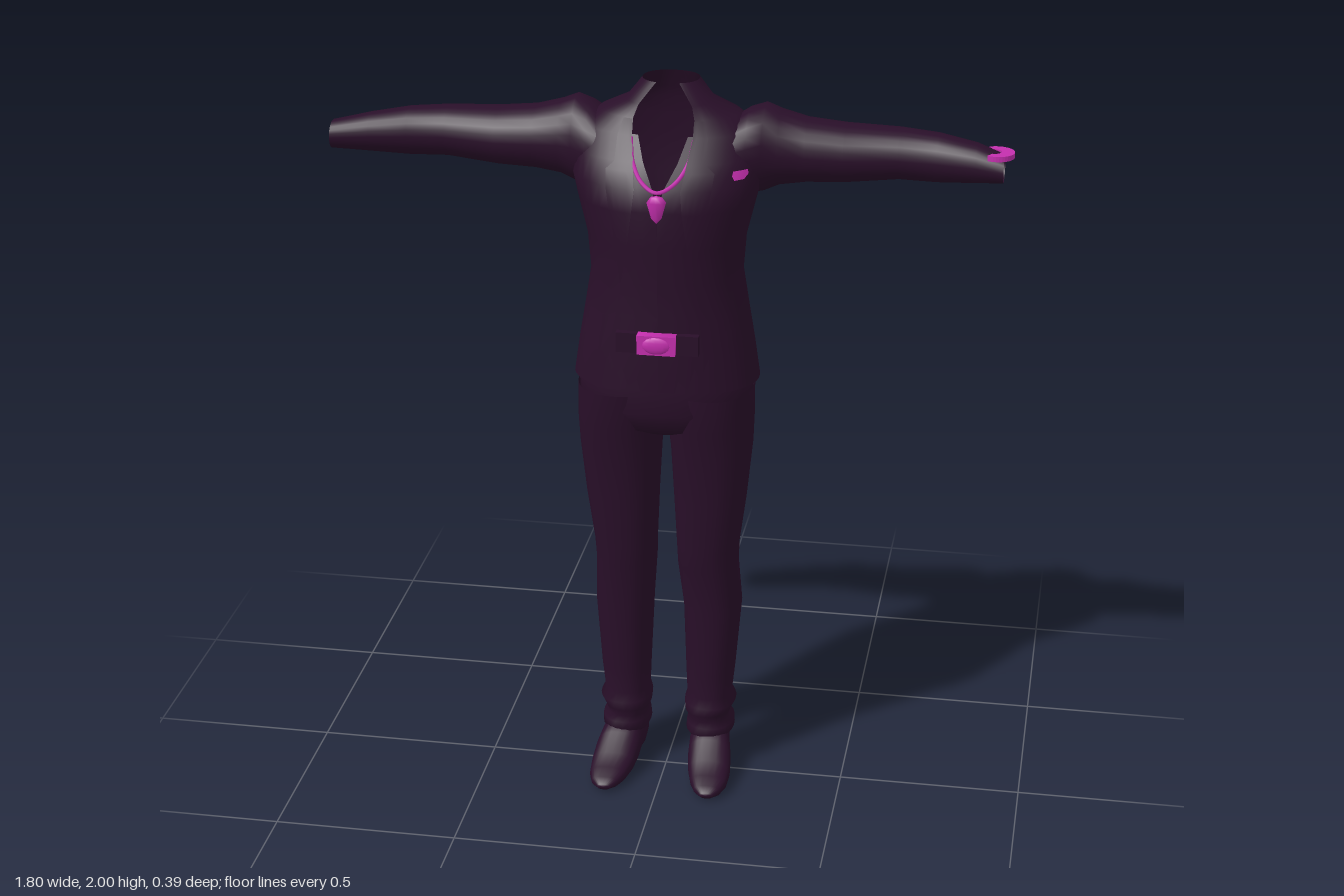
import * as THREE from 'three';

const cloth = new THREE.MeshStandardMaterial({ color: 0x290f29, side: THREE.DoubleSide });
cloth.name = 'dark plum cloth';
const jewel = new THREE.MeshStandardMaterial({ color: 0xc42fae, side: THREE.DoubleSide });
jewel.name = 'magenta metal';

// Loft along y through superellipse rings { y, cx, w (half width), f (front z), b (back z), gap (front opening half width) }
function loft(rings, n = 2.2, seg = 32, close = [false, false]) {
  const open = rings.some(r => r.gap);
  const pos = [], idx = [], row = open ? seg + 1 : seg;
  for (const { y, cx = 0, w, f, b, gap = 0 } of rings) {
    const t0 = Math.asin(Math.min(1, Math.pow(gap / w, n / 2)));
    for (let i = 0; i < row; i++) {
      const t = t0 + (2 * Math.PI - 2 * t0) * i / seg, s = Math.sin(t), c = Math.cos(t);
      pos.push(cx + w * Math.sign(s) * Math.abs(s) ** (2 / n), y,
        (f + b) / 2 + (f - b) / 2 * Math.sign(c) * Math.abs(c) ** (2 / n));
    }
  }
  for (let j = 0; j < rings.length - 1; j++) for (let i = 0; i < seg; i++) {
    const a = j * row + i, b = j * row + (i + 1) % row;
    idx.push(a, b, b + row, a, b + row, a + row);
  }
  [0, rings.length - 1].forEach((j, k) => {
    if (!close[k]) return;
    const r = rings[j], m = pos.length / 3;
    pos.push(r.cx || 0, r.y, (r.f + r.b) / 2);
    for (let i = 0; i < seg; i++) {
      const a = j * row + i, b = j * row + (i + 1) % row;
      k ? idx.push(a, b, m) : idx.push(b, a, m);
    }
  });
  return surface(pos, idx);
}

function surface(pos, idx) {
  const g = new THREE.BufferGeometry();
  g.setAttribute('position', new THREE.Float32BufferAttribute(pos, 3));
  g.setIndex(idx);
  g.computeVertexNormals();
  return g;
}

// Jacket sections: y, half width, front, back, opening
const torso = [
  [1.2, .25, .145, -.19, .155], [1.3, .235, .145, -.19, .135], [1.4, .218, .142, -.19, .115],
  [1.5, .202, .142, -.188, .098], [1.6, .21, .147, -.19, .08], [1.7, .235, .15, -.195, .066],
  [1.76, .25, .137, -.195, .06], [1.82, .25, .1, -.193, .07], [1.88, .235, .06, -.185, .08],
  [1.92, .185, .045, -.177, .08], [1.95, .115, .03, -.168, .07], [2.0, .075, -.02, -.145, .03],
].map(([y, w, f, b, gap]) => ({ y, w, f, b, gap }));

// Interpolated jacket section and front surface height
function section(y) {
  let j = 0;
  while (j < torso.length - 2 && torso[j + 1].y < y) j++;
  const p = torso[j], q = torso[j + 1], k = (y - p.y) / (q.y - p.y), o = {};
  for (const key in p) o[key] = p[key] + (q[key] - p[key]) * k;
  return o;
}
function frontZ(x, y) {
  const { w, f, b } = section(y);
  return (f + b) / 2 + (f - b) / 2 * Math.max(0, 1 - Math.abs(x / w) ** 2.2) ** (1 / 2.2);
}

// Thin strip lying on the jacket front: rows of [y, inner x, outer x]
function strip(rows, side, lift) {
  const pos = [], idx = [], n = 5;
  for (const [y, x0, x1] of rows) for (let i = 0; i < n; i++) {
    const x = x0 + (x1 - x0) * i / (n - 1);
    pos.push(side * x, y, frontZ(x, y) + lift);
  }
  for (let j = 0; j < rows.length - 1; j++) for (let i = 0; i < n - 1; i++) {
    const a = j * n + i, b = a + n;
    side > 0 ? idx.push(a, a + 1, b + 1, a, b + 1, b) : idx.push(a, b + 1, a + 1, a, b, b + 1);
  }
  return surface(pos, idx);
}

export function createModel() {
  const model = new THREE.Group();
  const add = (name, geo, mat = cloth) => {
    const m = new THREE.Mesh(geo, mat);
    m.name = name;
    model.add(m);
    return m;
  };

  // Jacket with open front, and the shirt with a V neck under it
  add('jacket', loft(torso, 2.2, 40));
  const vNeck = { 1.76: .015, 1.82: .045, 1.88: .065 };
  add('shirt', loft(torso.slice(0, 9).map(r => ({
    y: r.y, w: r.w - .014, f: r.f - .008, b: r.b + .014, gap: vNeck[r.y] || .0005,
  })), 2.2, 40));

  // Trouser seat
  add('trouserSeat', loft([
    { y: 1.05, w: .09, f: .07, b: -.09 }, { y: 1.075, w: .19, f: .115, b: -.135 },
    { y: 1.13, w: .232, f: .137, b: -.155 }, { y: 1.2, w: .236, f: .137, b: -.172 },
    { y: 1.36, w: .21, f: .132, b: -.17 },
  ], 2.3, 32, [true, false]));

  // Trouser legs: y, inner x, outer x, front, back, with gathered folds at the ankle
  const leg = [
    [.1, .058, .17, .02, -.125], [.11, .052, .187, .032, -.142], [.135, .054, .186, .032, -.14],
    [.15, .06, .172, .022, -.125], [.175, .05, .178, .036, -.132], [.2, .048, .192, .036, -.136],
    [.225, .055, .18, .025, -.128], [.3, .052, .188, .033, -.135], [.5, .044, .204, .037, -.152],
    [.64, .031, .197, .06, -.12], [.7, .029, .2, .07, -.118], [.85, .022, .22, .086, -.122],
    [1.0, .014, .235, .104, -.135], [1.08, .006, .238, .125, -.146], [1.18, .004, .237, .137, -.165],
  ];
  // Shoes run heel to toe: z, inner x, outer x, top, bottom
  const shoe = [
    [-.13, .085, .15, .1, .012], [-.122, .07, .166, .125, 0], [-.06, .066, .172, .135, 0],
    [-.05, .066, .174, .135, .012], [0, .068, .184, .13, .012], [.04, .07, .192, .108, .002],
    [.09, .078, .197, .07, 0], [.14, .092, .194, .05, 0], [.175, .108, .182, .038, .004],
    [.193, .128, .162, .024, .008],
  ];
  // Sleeves run outwards: x, top, bottom, front, back
  const sleeve = [
    [.17, 1.905, 1.72, .05, -.175], [.21, 1.93, 1.705, .04, -.182], [.25, 1.942, 1.71, .022, -.182],
    [.29, 1.925, 1.727, .01, -.178], [.36, 1.906, 1.738, .004, -.172], [.46, 1.896, 1.742, 0, -.17],
    [.6, 1.889, 1.755, -.018, -.168], [.7, 1.886, 1.758, -.008, -.138], [.8, 1.872, 1.768, .004, -.106],
  ];
  for (const s of [1, -1]) {
    const side = s > 0 ? 'left' : 'right';
    const mid = (a, b) => ({ cx: s * (a + b) / 2, w: (b - a) / 2 });
    add(side + 'TrouserLeg', loft(leg.map(([y, a, b, f, k]) => ({ y, ...mid(a, b), f, b: k })), 2.3, 24));
    add(side + 'Shoe', loft(shoe.map(([y, a, b, t, k]) => ({ y, ...mid(a, b), f: -k, b: -t })), 2.5, 24, [true, true])
      .rotateX(Math.PI / 2));
    const cuff = s > 0 ? [.873, 1.85, 1.777, .012, -.076] : [.9, 1.853, 1.779, .018, -.07];
    add(side + 'Sleeve', loft([...sleeve, cuff].map(([y, t, k, f, b]) => (
      { y, cx: -s * (t + k) / 2, w: (t - k) / 2, f, b })), 2.1, 24).rotateZ(-s * Math.PI / 2));

    // Lapel and hip pocket flap
    add(side + 'Lapel', strip([[1.5, .098, .1], [1.6, .08, .11], [1.7, .066, .128], [1.76, .06, .138],
      [1.8, .067, .142], [1.82, .07, .12], [1.88, .08, .118], [1.92, .08, .105]], s, .006));
    add(side + 'PocketFlap', strip([[1.33, .165, .215], [1.37, .16, .205]], s, .005));
  }

  // Belt and buckle
  const belt = add('belt', new THREE.BoxGeometry(.22, .055, .02));
  belt.position.set(0, 1.34, .136);
  const buckleGeo = new THREE.CylinderGeometry(.05, .05, .05, 4, 1).rotateY(Math.PI / 4).rotateX(Math.PI / 2);
  buckleGeo.scale(1.45, .75, .6);
  add('buckle', buckleGeo, jewel).position.set(0, 1.342, .148);
  const stud = add('buckleBoss', new THREE.SphereGeometry(.03, 12, 8), jewel);
  stud.scale.set(1.3, .8, .3);
  stud.position.set(0, 1.342, .161);

  // Necklace and pendant
  const chain = new THREE.CatmullRomCurve3([
    [-.083, 1.875, .055], [-.072, 1.82, .09], [-.042, 1.776, .127], [0, 1.757, .146],
    [.042, 1.776, .127], [.072, 1.82, .09], [.083, 1.875, .055],
  ].map(p => new THREE.Vector3(...p)));
  add('necklaceChain', new THREE.TubeGeometry(chain, 40, .0055, 6), jewel);
  const pendant = add('pendant', new THREE.LatheGeometry(
    [[0, -.04], [.014, -.025], [.026, .018], [.016, .032], [0, .036]].map(p => new THREE.Vector2(...p)), 10), jewel);
  pendant.scale.z = .6;
  pendant.position.set(0, 1.715, .15);

  // Breast brooch
  add('brooch', strip([[1.782, .192, .215], [1.793, .186, .224], [1.804, .188, .222]], 1, .014), jewel);

  // Bracelet arc resting on the left cuff
  const arc = new THREE.Shape();
  arc.absarc(0, 0, .045, -2.1, 2.1, false);
  arc.absarc(-.008, 0, .02, 1.8, -1.8, true);
  const band = add('bracelet', new THREE.ExtrudeGeometry(arc, { depth: .014, bevelEnabled: false, curveSegments: 12 })
    .rotateX(-Math.PI / 2), jewel);
  band.position.set(.853, 1.845, -.03);

  return model;
}
